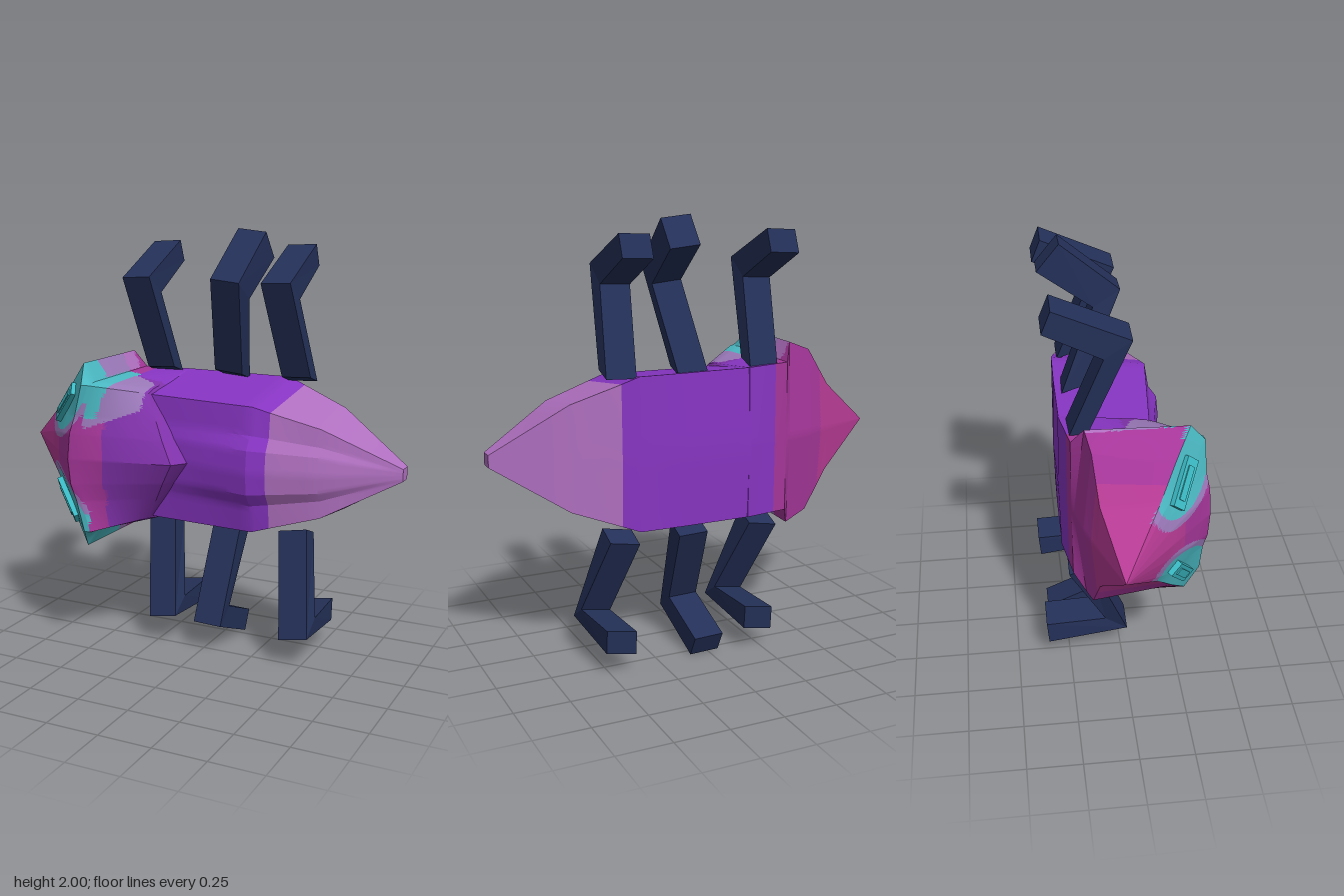
import * as THREE from 'three';
import { toCreasedNormals } from 'three/addons/utils/BufferGeometryUtils.js';

const CY = 0.97; // height of the body's axis

function mat(name, color) {
  const m = new THREE.MeshStandardMaterial({ color });
  m.name = name;
  return m;
}

// Skin through half sections of [x, h, z] points (front centre to back centre),
// mirrored about the axis. colourOf(x, h, z) gives a material index per cell.
function loft(rings, n, colourOf = () => 0) {
  const fine = [];
  const lerp = (a, b, t) => a.map((v, k) => v + (b[k] - v) * t);
  const full = rings.map(half => {
    const mirrored = half.slice(0, -1).reverse().map(([x, h, z]) => [x, -h, z]);
    const loop = [...half, ...mirrored];
    const out = [];
    for (let j = 0; j < loop.length - 1; j++)
      for (let s = 0; s < n; s++) out.push(lerp(loop[j], loop[j + 1], s / n));
    out.push(loop[loop.length - 1]);
    return out;
  });
  for (let i = 0; i < full.length - 1; i++)
    for (let s = 0; s < n; s++) fine.push(full[i].map((p, j) => lerp(p, full[i + 1][j], s / n)));
  fine.push(full[full.length - 1]);

  const buckets = [];
  for (let i = 0; i < fine.length - 1; i++)
    for (let j = 0; j < fine[i].length - 1; j++) {
      const a = fine[i][j], b = fine[i][j + 1], c = fine[i + 1][j + 1], d = fine[i + 1][j];
      for (const tri of [[a, d, b], [b, d, c]]) {
        const mid = [0, 1, 2].map(k => (tri[0][k] + tri[1][k] + tri[2][k]) / 3);
        (buckets[colourOf(...mid)] ??= []).push(...tri.flat());
      }
    }
  let g = new THREE.BufferGeometry();
  const pos = [];
  buckets.forEach((list, m) => {
    g.addGroup(pos.length / 3, list.length / 3, m);
    for (const v of list) pos.push(v);
  });
  g.setAttribute('position', new THREE.Float32BufferAttribute(pos, 3));
  // Enlarged while creasing, so close vertices are not merged
  g.scale(100, 100, 100);
  g = toCreasedNormals(g, 0.4);
  g.scale(0.01, 0.01, 0.01);
  return g.translate(0, CY, 0);
}

// Bent leg: a box whose three levels follow [x, outerZ, outerY, innerZ, innerY]
function legGeometry(levels, tilt) {
  const g = new THREE.BoxGeometry(0.14, 2, 2, 1, 2, 1).toNonIndexed();
  const p = g.attributes.position;
  const up = levels[2][2] > levels[0][2];
  for (let i = 0; i < p.count; i++) {
    const k = Math.round(p.getY(i)) + 1;
    const [x, oz, oy, iz, iy] = levels[up ? k : 2 - k];
    const outer = p.getZ(i) > 0, dx = p.getX(i);
    p.setXYZ(i, x + dx, (outer ? oy : iy) + dx * tilt, outer ? oz : iz);
  }
  g.computeVertexNormals();
  return g;
}

// Colour regions of the head and shield:
// 0 pink, 1 magenta, 2 plum, 3 teal, 4 mauve, 5 lilac, 6 violet
function shieldColour(x, y, z) {
  const h = Math.abs(y), upper = y > 0;
  // Rear face of the flared cheeks
  if (x > -0.48 && h > 0.355 && z > -0.175) {
    if (z > (upper ? 0.15 : 0)) return 3;
    if (z > -0.07) return 4;
    return upper ? 5 : 1;
  }
  // Slanted oval patch round each eye, ending at the cheek's front edge
  const cheekEdge = -0.065 + 0.681 * (x + 0.95);
  if (x < -0.43 && z > Math.min(cheekEdge, 0.255)) {
    const dx = x + 0.575, dh = h - 0.26;
    const d = Math.hypot((dx * 0.66 + dh * 0.75) / 0.19, (dx * 0.75 - dh * 0.66) / 0.1);
    if (d < 1 || (x > -0.5 && h > 0.26)) return 3;
    if (d < 1.25) return 4;
  }
  // The upper patch runs back over the shield
  if (upper && x >= -0.45 && z > -0.05) {
    if (h > 0.19 && x < -0.46 + h * 0.31) return 3;
    if (x < -0.22 && h > 0.15 + (x + 0.43) * 0.35 && z > -0.05 + (x + 0.43) * 0.5) return 4;
  }
  if (x < -0.65) return 0;
  if (x < -0.36) return 1;
  return z > 0 ? 2 : 6;
}

export function createModel() {
  const model = new THREE.Group();
  const navy = mat('navy', 0x243058);
  const violet = mat('violet', 0x8735c2);
  const lilac = mat('lilac', 0xb070c0);
  const pink = mat('pink', 0xb43a92);
  const magenta = mat('magenta', 0xa53699);
  const plum = mat('plum', 0x8032aa);
  const teal = mat('teal', 0x4ab8c2);
  const mauve = mat('mauve', 0x9a78b8);
  const eyeCyan = mat('eye cyan', 0x3cbcc6);

  const add = (name, geometry, material, parent = model) => {
    const m = new THREE.Mesh(geometry, material);
    m.name = name;
    parent.add(m);
  };

  // Head, flared cheeks and pointed back shield
  const tip = Array(7).fill([-0.95, 0, -0.06]);
  const shield = [
    tip,
    [[-0.74, 0, 0.145], [-0.73, 0.07, 0.142], [-0.72, 0.12, 0.135], [-0.71, 0.17, 0.125],
      [-0.7, 0.205, 0.11], [-0.7, 0.21, -0.14], [-0.7, 0, -0.155]],
    [[-0.6, 0, 0.28], [-0.6, 0.1, 0.275], [-0.59, 0.18, 0.25], [-0.585, 0.24, 0.225],
      [-0.585, 0.33, 0.19], [-0.58, 0.39, -0.16], [-0.58, 0, -0.2]],
    [[-0.52, 0, 0.36], [-0.51, 0.12, 0.355], [-0.49, 0.2, 0.34], [-0.455, 0.345, 0.335],
      [-0.48, 0.435, 0.265], [-0.465, 0.435, -0.18], [-0.45, 0, -0.23]],
    [[-0.5, 0, 0.357], [-0.49, 0.12, 0.35], [-0.47, 0.2, 0.338], [-0.425, 0.345, 0.33],
      [-0.425, 0.352, 0.26], [-0.425, 0.352, -0.235], [-0.425, 0, -0.237]],
    [[-0.04, 0, 0.26], [-0.098, 0.1, 0.232], [-0.144, 0.18, 0.2], [-0.21, 0.295, 0.15],
      [-0.21, 0.31, 0.1], [-0.21, 0.35, -0.272], [-0.21, 0, -0.279]],
    [[0.01, 0, 0.19], [-0.064, 0.1, 0.17], [-0.123, 0.18, 0.15], [-0.2, 0.285, 0.12],
      [-0.2, 0.3, 0.08], [-0.2, 0.345, -0.265], [-0.2, 0, -0.27]],
  ];
  add('headAndShield', loft(shield, 16, shieldColour),
    [pink, magenta, plum, teal, mauve, lilac, violet]);

  // Abdomen and tapering tail
  const ring = (x, pts) => pts.map(([h, z]) => [x, h, z]);
  const joint = ring(0.4, [[0, 0.223], [0.095, 0.213], [0.15, 0.178], [0.262, 0.164], [0.32, -0.25], [0, -0.255]]);
  add('abdomen', loft([
    ring(-0.22, [[0, 0.15], [0.1, 0.15], [0.16, 0.14], [0.29, 0.13], [0.35, -0.27], [0, -0.28]]),
    ring(0.1, [[0, 0.21], [0.1, 0.2], [0.16, 0.175], [0.287, 0.16], [0.35, -0.27], [0, -0.28]]),
    ring(0.32, [[0, 0.25], [0.1, 0.24], [0.16, 0.2], [0.285, 0.18], [0.35, -0.265], [0, -0.268]]),
    joint,
  ], 4), violet);
  add('tail', loft([
    joint,
    ring(0.62, [[0, 0.155], [0.08, 0.145], [0.12, 0.12], [0.2, 0.115], [0.24, -0.2], [0, -0.2]]),
    ring(0.95, [[0, -0.02], [0.012, -0.02], [0.02, -0.02], [0.028, -0.022], [0.028, -0.085], [0, -0.085]]),
    ring(0.95, Array(6).fill([0, -0.05])),
  ], 4), lilac);

  // Slanted eyes, mirrored across the axis
  const normal = new THREE.Vector3(-0.71, 0.32, 0.63).normalize();
  const along = new THREE.Vector3(0.13, 0.16, 0.09).projectOnPlane(normal).normalize();
  const across = normal.clone().cross(along);
  for (const side of [1, -1]) {
    const eye = new THREE.Group();
    eye.name = side > 0 ? 'upperEye' : 'lowerEye';
    eye.position.y = CY;
    eye.scale.y = side;
    model.add(eye);
    const place = new THREE.Matrix4().makeBasis(along, across, normal).setPosition(-0.605, 0.235, 0.222);
    add('eyePlate', new THREE.BoxGeometry(0.22, 0.07, 0.03).applyMatrix4(place), eyeCyan, eye);
    add('eyeRidge', new THREE.BoxGeometry(0.15, 0.035, 0.04).applyMatrix4(place), eyeCyan, eye);
  }

  // Legs: side, x at hip, knee and foot, sideways tilt, and whether the shin is raised further outward
  const legs = [
    [1, -0.3, -0.335, -0.34, 0.06, false], [1, 0.055, 0.115, 0.135, -0.1, true],
    [1, 0.395, 0.36, 0.355, 0.05, false], [-1, -0.3, -0.21, -0.225, 0.18, false],
    [-1, 0.055, 0.03, 0.02, -0.03, true], [-1, 0.39, 0.47, 0.455, 0.18, false],
  ];
  for (const [side, hip, knee, foot, tilt, spread] of legs) {
    const levels = side > 0
      ? [[hip, -0.15, 1.34, -0.24, 1.31], [knee, 0.03, 1.78, -0.09, 1.7],
        spread ? [foot, -0.23, 1.993, -0.33, 1.87] : [foot, -0.3, 1.93, -0.34, 1.83]]
      : [[hip, -0.15, 0.61, -0.25, 0.57], [knee, 0.03, 0.14, -0.075, 0.21],
        spread ? [foot, -0.29, 0.005, -0.34, 0.1] : [foot, -0.35, 0.1, -0.36, 0.21]];
    add(side > 0 ? 'upperLeg' : 'lowerLeg', legGeometry(levels, tilt), navy);
  }
  return model;
}
